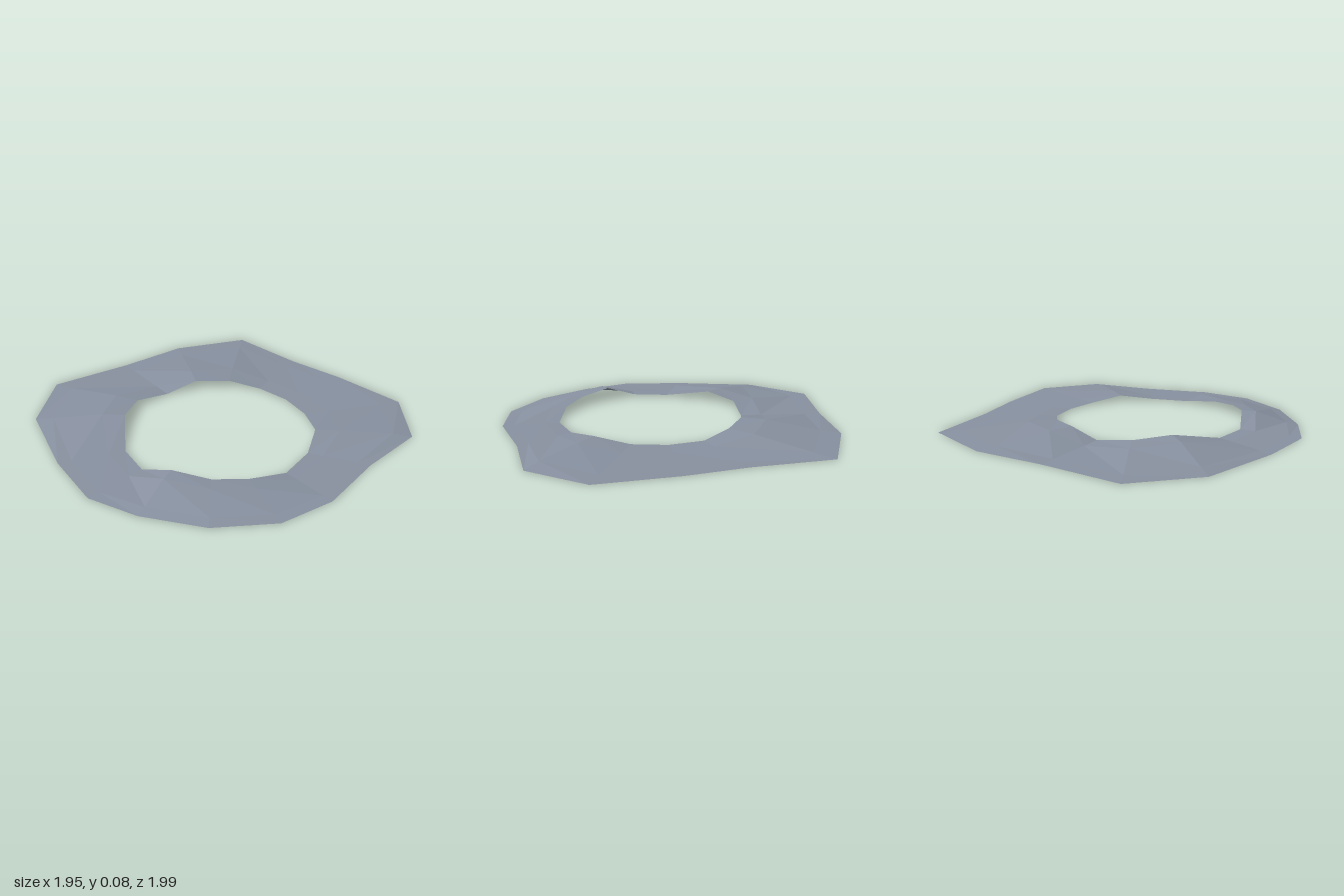
import * as THREE from 'three';

// One entry per spoke: inner x, z, height, then outer x, z, height of the low shoulder
const spokes = [
  [0.07, -0.47, 0.007, 0.06, -0.94, 0.002],
  [0.27, -0.44, 0.01, 0.51, -1.0, 0.004],
  [0.46, -0.34, 0.033, 0.82, -0.76, 0.018],
  [0.58, -0.17, 0.007, 0.87, -0.36, 0.002],
  [0.645, 0.05, 0.005, 0.97, 0.03, 0.001],
  [0.60, 0.27, 0.038, 0.94, 0.35, 0.006],
  [0.50, 0.44, 0.054, 0.75, 0.65, 0.012],
  [0.33, 0.57, 0.075, 0.46, 0.87, 0.012],
  [0.15, 0.64, 0.010, 0.18, 0.99, 0.002],
  [-0.06, 0.61, 0.006, -0.19, 0.96, 0.002],
  [-0.31, 0.45, 0.06, -0.68, 0.84, 0.014],
  [-0.44, 0.28, 0.037, -0.98, 0.54, 0.003],
  [-0.44, 0.06, 0.005, -0.93, 0.05, 0.001],
  [-0.40, -0.13, 0.048, -0.92, -0.37, 0.008],
  [-0.29, -0.31, 0.037, -0.75, -0.80, 0.008],
  [-0.13, -0.43, 0.010, -0.29, -0.86, 0.003],
];

export function createModel() {
  const group = new THREE.Group();
  group.name = 'stoneRing';
  const stone = new THREE.MeshStandardMaterial({
    color: 0x87909f, flatShading: true, side: THREE.DoubleSide,
  });
  stone.name = 'blue grey stone';

  // Four loops from the raised inner lip down to the ground
  const steps = [0, 0.25, 0.8, 1];
  const positions = [];
  for (const t of steps) {
    for (const [ix, iz, lip, ox, oz, shoulder] of spokes) {
      const y = t === 0 ? lip : t === 0.25 ? lip * 0.95 : t === 0.8 ? shoulder : 0;
      positions.push(ix + (ox - ix) * t, y, iz + (oz - iz) * t);
    }
  }

  // Quads between neighbouring loops
  const n = spokes.length;
  const index = [];
  for (let r = 0; r < steps.length - 1; r++) {
    for (let i = 0; i < n; i++) {
      const j = (i + 1) % n;
      const a = r * n + i, b = r * n + j, c = b + n, d = a + n;
      index.push(a, b, d, b, c, d);
    }
  }
  const geometry = new THREE.BufferGeometry();
  geometry.setAttribute('position', new THREE.Float32BufferAttribute(positions, 3));
  geometry.setIndex(index);
  geometry.computeVertexNormals();

  const rim = new THREE.Mesh(geometry, stone);
  rim.name = 'unevenRim';
  group.add(rim);
  return group;
}
